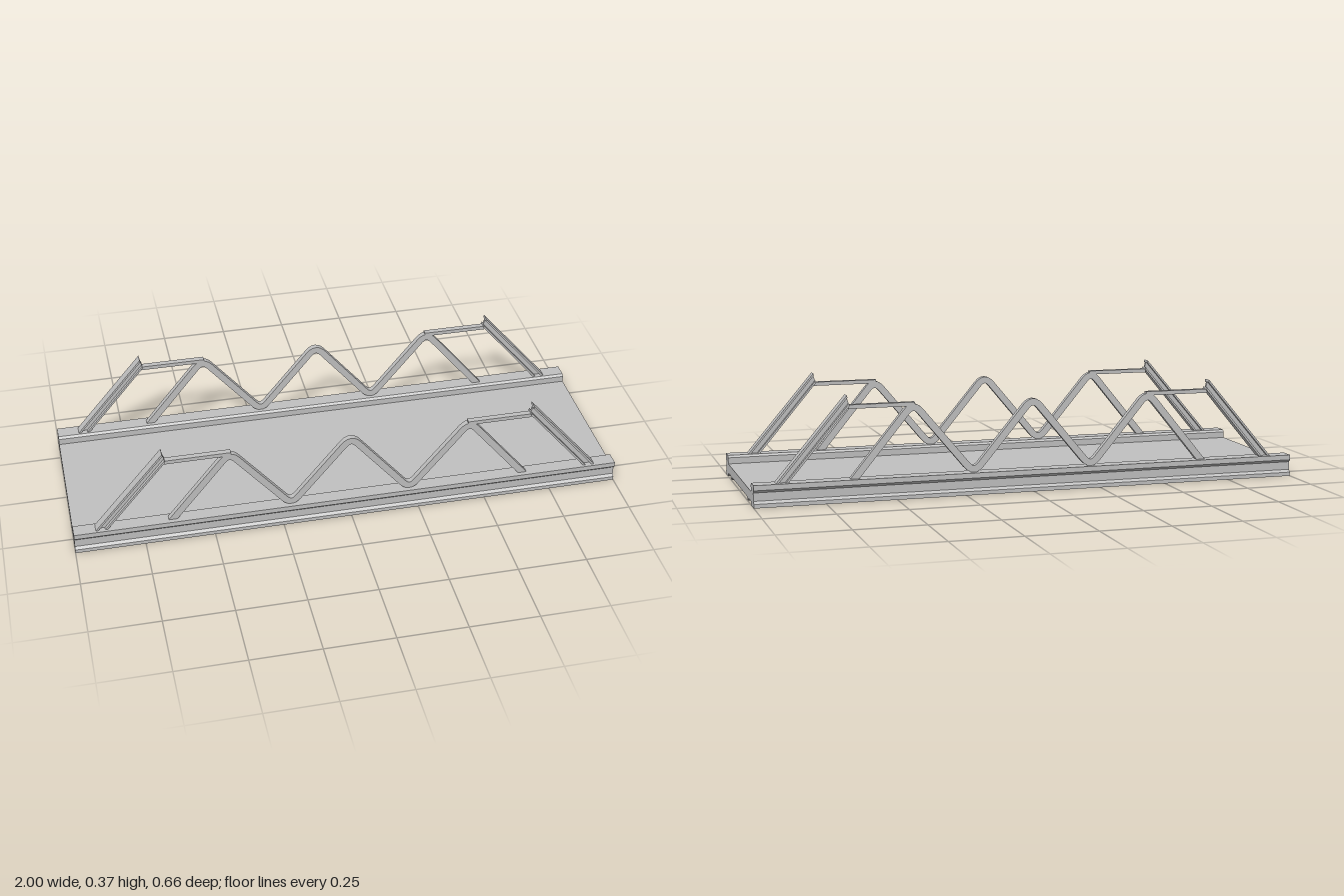
import * as THREE from 'three';

const steel = new THREE.MeshStandardMaterial({ color: 0xc0c0c0 });
steel.name = 'grey steel';

// Flat outline extruded about its own middle plane
function plate(name, points, depth) {
  const shape = new THREE.Shape(points.map(([x, y]) => new THREE.Vector2(x, y)));
  const geometry = new THREE.ExtrudeGeometry(shape, { depth, bevelEnabled: false });
  geometry.translate(0, 0, -depth / 2);
  const mesh = new THREE.Mesh(geometry, steel);
  mesh.name = name;
  return mesh;
}

// Zigzag centre line with rounded corners, thickened into an outline
function zigzagOutline(corners, halfWidth, cut) {
  const pts = corners.map(([x, y]) => new THREE.Vector2(x, y));
  const line = [pts[0]];
  for (let i = 1; i < pts.length - 1; i++) {
    const towards = (p) => pts[i].clone().add(p.clone().sub(pts[i]).setLength(cut));
    line.push(...new THREE.QuadraticBezierCurve(towards(pts[i - 1]), pts[i], towards(pts[i + 1])).getPoints(6));
  }
  line.push(pts[pts.length - 1]);
  const upper = [], lower = [];
  line.forEach((p, i) => {
    const a = line[Math.max(i - 1, 0)], b = line[Math.min(i + 1, line.length - 1)];
    const t = b.clone().sub(a).normalize().multiplyScalar(halfWidth);
    upper.push([p.x - t.y, p.y + t.x]);
    lower.push([p.x + t.y, p.y - t.x]);
  });
  return upper.concat(lower.reverse());
}

// Sloping I-beam: two flanges and a web between the outer and inner edges
function endPost() {
  const post = new THREE.Group();
  const at = (f) => [[-0.925 + 0.043 * f, 0.075], [-0.672 + 0.01 * f, 0.372 - 0.036 * f]];
  const strip = (name, f0, f1, depth) => {
    const [a, b] = at(f0), [c, d] = at(f1);
    post.add(plate(name, [a, c, d, b], depth));
  };
  strip('outerFlange', 0, 0.22, 0.036);
  strip('web', 0.22, 0.78, 0.009);
  strip('innerFlange', 0.78, 1, 0.036);
  return post;
}

// One side truss
function truss() {
  const side = new THREE.Group();
  const step = 0.218;
  const corners = [[-0.652, 0.072]];
  for (let i = -2; i <= 2; i++) corners.push([i * step, i % 2 ? 0.075 : 0.335]);
  corners.push([0.652, 0.072]);
  side.add(plate('zigzagBrace', zigzagOutline(corners, 0.0125, 0.04), 0.021));
  for (const s of [-1, 1]) {
    const post = endPost();
    post.name = s < 0 ? 'rightEndPost' : 'leftEndPost';
    if (s > 0) post.rotation.y = Math.PI;
    side.add(post);
    const bar = new THREE.Mesh(new THREE.BoxGeometry(0.236, 0.014, 0.021), steel);
    bar.position.set(s * 0.548, 0.331, 0);
    bar.name = 'topChord';
    side.add(bar);
  }
  return side;
}

export function createModel() {
  const model = new THREE.Group();
  model.name = 'trussBridge';

  // Deck with curbs and ribs, one half section mirrored
  const half = [
    [0.269, 0.048], [0.269, 0.071], [0.277, 0.079], [0.33, 0.079], [0.33, 0.061],
    [0.321, 0.052], [0.321, 0.023], [0.33, 0.014], [0.33, 0], [0.281, 0],
    [0.263, 0.013], [0.214, 0.013], [0.206, 0.003], [0.187, 0.003], [0.179, 0.013],
  ];
  const mirrored = half.map(([x, y]) => [-x, y]).reverse();
  const deck = plate('deck', half.concat(mirrored), 2);
  deck.rotation.y = Math.PI / 2;
  model.add(deck);

  // Trusses standing on both curbs
  for (const s of [-1, 1]) {
    const side = truss();
    side.name = s > 0 ? 'frontTruss' : 'backTruss';
    side.position.z = s * 0.302;
    model.add(side);
  }
  return model;
}
